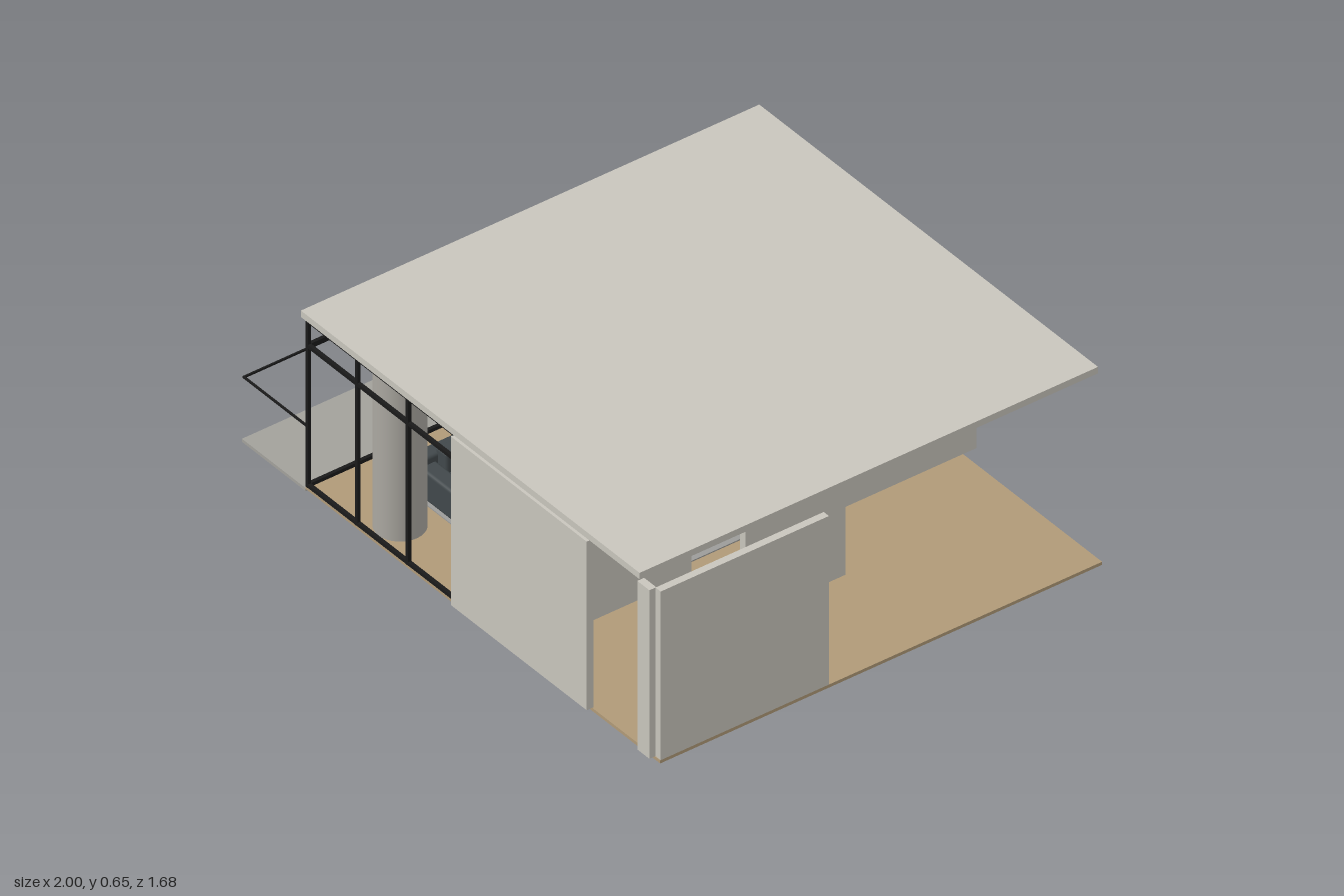
import * as THREE from 'three';
import { RoundedBoxGeometry } from 'three/addons/geometries/RoundedBoxGeometry.js';

const mat = (name, color) => {
  const m = new THREE.MeshStandardMaterial({ color });
  m.name = name;
  return m;
};

export function createModel() {
  const house = new THREE.Group();
  house.name = 'pavilion';
  const concrete = mat('pale concrete', 0xc8c5bc);
  const paving = mat('terrace grey', 0xa2a19b);
  const columnGrey = mat('column grey', 0xaaa7a0);
  const wood = mat('floor wood', 0xb09a78);
  const cabinet = mat('cabinet wood', 0xb2966a);
  const black = mat('frame black', 0x1a1a1a);
  const leather = mat('dark upholstery', 0x41484b);
  const tan = mat('lampshade tan', 0xb08e6c);
  const chrome = mat('metal', 0xb4b4b2);
  const rugGrey = mat('rug grey', 0x9c9c9a);

  const add = (name, geo, material, x, y, z, parent = house) => {
    const m = new THREE.Mesh(geo, material);
    m.name = name;
    m.position.set(x, y, z);
    parent.add(m);
    return m;
  };
  // Box given by its minimum and maximum on each axis
  const box = (name, material, x0, x1, y0, y1, z0, z1, parent = house) =>
    add(name, new THREE.BoxGeometry(x1 - x0, y1 - y0, z1 - z0), material,
      (x0 + x1) / 2, (y0 + y1) / 2, (z0 + z1) / 2, parent);
  const soft = (name, x0, x1, y0, y1, z0, z1, parent) =>
    add(name, new RoundedBoxGeometry(x1 - x0, y1 - y0, z1 - z0, 2, 0.01), leather,
      (x0 + x1) / 2, (y0 + y1) / 2, (z0 + z1) / 2, parent);
  const rod = (name, material, r0, r1, y0, y1, x, z, parent = house) =>
    add(name, new THREE.CylinderGeometry(r1, r0, y1 - y0, 32), material, x, (y0 + y1) / 2, z, parent);

  // Wooden floor, L-shaped around the terrace (shape y is -z)
  const plan = new THREE.Shape([
    [-0.695, -0.82], [0.975, -0.82], [1, -0.82], [1, 0.79], [-1, 0.79], [-1, 0.215], [-0.695, 0.215],
  ].map(([x, y]) => new THREE.Vector2(x, y)));
  const floor = add('floor', new THREE.ExtrudeGeometry(plan, { depth: 0.011, bevelEnabled: false }), wood, 0, 0.011, 0);
  floor.rotation.x = -Math.PI / 2;
  box('terrace', paving, -1, -0.695, 0.003, 0.014, -0.215, 0.82);

  // Roof slab and walls
  const lo = 0.022, hi = 0.627;
  box('roof', concrete, -0.705, 0.915, hi, 0.65, -0.84, 0.83);
  box('frontWall', concrete, 0.025, 0.675, lo, hi, 0.815, 0.84);
  box('cornerPanel', concrete, 0.917, 0.975, lo, hi, 0.815, 0.84);
  box('sideWall', concrete, 0.975, 1, lo, hi, 0.205, 0.818);
  box('backPartition', concrete, 0.31, 0.335, lo, hi, -0.84, -0.16);
  box('frontPartition', concrete, 0.31, 0.335, lo, hi, 0.2, 0.815);
  box('nicheBack', concrete, 0.335, 0.6, lo, hi, -0.16, -0.135);
  box('nicheSide', concrete, 0.575, 0.6, lo, hi, -0.135, 0.205);

  // Round column
  rod('column', columnGrey, 0.08, 0.08, lo, hi, -0.375, 0.72);

  // Black glazing frames on the front and the terrace side
  const frames = new THREE.Group();
  frames.name = 'glazingFrames';
  house.add(frames);
  const t = 0.006;
  for (const x of [-0.688, -0.451, -0.208, 0.019])
    box('frontPost', black, x - t, x + t, lo, hi, 0.81, 0.822, frames);
  for (let i = 0; i < 5; i++) {
    const z = -0.42 + i * 0.248;
    box('sidePost', black, -0.694, -0.682, lo, hi, z - t, z + t, frames);
  }
  for (const y of [0.029, 0.53, 0.62]) {
    box('frontRail', black, -0.694, 0.025, y - t, y + t, 0.81, 0.822, frames);
    box('sideRail', black, -0.694, -0.682, y - t, y + t, -0.47, 0.822, frames);
  }

  // Thin handrail round the terrace
  const h = 0.003;
  for (const z of [-0.215, 0.815])
    box('handrailEnd', black, -1, -0.69, 0.235 - h, 0.235 + h, z - h, z + h);
  box('handrail', black, -1, -1 + 2 * h, 0.235 - h, 0.235 + h, -0.215, 0.815);

  // Kitchen island with two pendant lamps
  box('island', cabinet, -0.32, 0.05, lo, 0.2, -0.42, -0.22);
  for (const x of [-0.215, -0.05]) {
    const shade = new THREE.CylinderGeometry(0.02, 0.04, 0.042, 32, 1, true);
    const open = concrete;
    add('pendantShade', shade, open, x, 0.424, -0.32);
    add('pendantCap', new THREE.CylinderGeometry(0.02, 0.02, 0.002, 32), concrete, x, 0.445, -0.32);
    add('pendantBulb', new THREE.SphereGeometry(0.018, 16, 12), concrete, x, 0.42, -0.32);
    rod('pendantCord', chrome, 0.001, 0.001, 0.445, hi, x, -0.32);
  }

  // Rug
  box('rug', rugGrey, -0.42, 0.28, lo, 0.026, -0.05, 0.6);

  // Long sofa facing +x
  const sofa = new THREE.Group();
  sofa.name = 'sofa';
  house.add(sofa);
  soft('sofaBase', -0.475, -0.265, 0.035, 0.085, -0.1, 0.6, sofa);
  soft('sofaBack', -0.487, -0.435, 0.04, 0.165, -0.1, 0.6, sofa);
  for (const z of [-0.1, 0.54]) soft('sofaArm', -0.48, -0.262, 0.04, 0.14, z, z + 0.06, sofa);
  for (let i = 0; i < 3; i++) {
    const z = -0.04 + i * 0.1933;
    soft('seatCushion', -0.43, -0.262, 0.083, 0.11, z + 0.002, z + 0.191, sofa);
    soft('backCushion', -0.45, -0.395, 0.108, 0.182, z + 0.004, z + 0.189, sofa);
  }

  // Low daybed opposite
  const daybed = new THREE.Group();
  daybed.name = 'daybed';
  house.add(daybed);
  soft('daybedBase', -0.145, 0.06, 0.038, 0.085, 0.14, 0.44, daybed);
  soft('daybedCushion', -0.14, 0.055, 0.084, 0.115, 0.145, 0.435, daybed);
  soft('daybedPillow', -0.145, -0.06, 0.1, 0.126, 0.16, 0.42, daybed);

  // Legs under the seats
  for (const [x, z] of [[-0.46, -0.07], [-0.29, -0.07], [-0.46, 0.57], [-0.29, 0.57],
    [-0.12, 0.17], [0.035, 0.17], [-0.12, 0.41], [0.035, 0.41]])
    box('seatLeg', black, x - t, x + t, lo, 0.045, z - t, z + t);

  // Floor lamp
  rod('lampFoot', chrome, 0.03, 0.03, lo, 0.028, -0.2, 0.58);
  rod('lampPole', chrome, 0.004, 0.004, lo, 0.3, -0.2, 0.58);
  rod('lampShade', tan, 0.034, 0.028, 0.265, 0.345, -0.2, 0.58);

  // Ceiling fan
  const fan = new THREE.Group();
  fan.name = 'ceilingFan';
  fan.position.set(-0.185, 0, 0.22);
  house.add(fan);
  rod('fanRod', black, 0.004, 0.004, 0.57, hi, 0, 0, fan);
  rod('fanMotor', black, 0.016, 0.02, 0.552, 0.574, 0, 0, fan);
  for (let i = 0; i < 4; i++) {
    const arm = new THREE.Group();
    arm.name = 'fanBlade';
    arm.rotation.y = (i * Math.PI) / 2;
    box('blade', chrome, 0.015, 0.12, 0.568, 0.572, -0.012, 0.012, arm);
    fan.add(arm);
  }

  return house;
}
